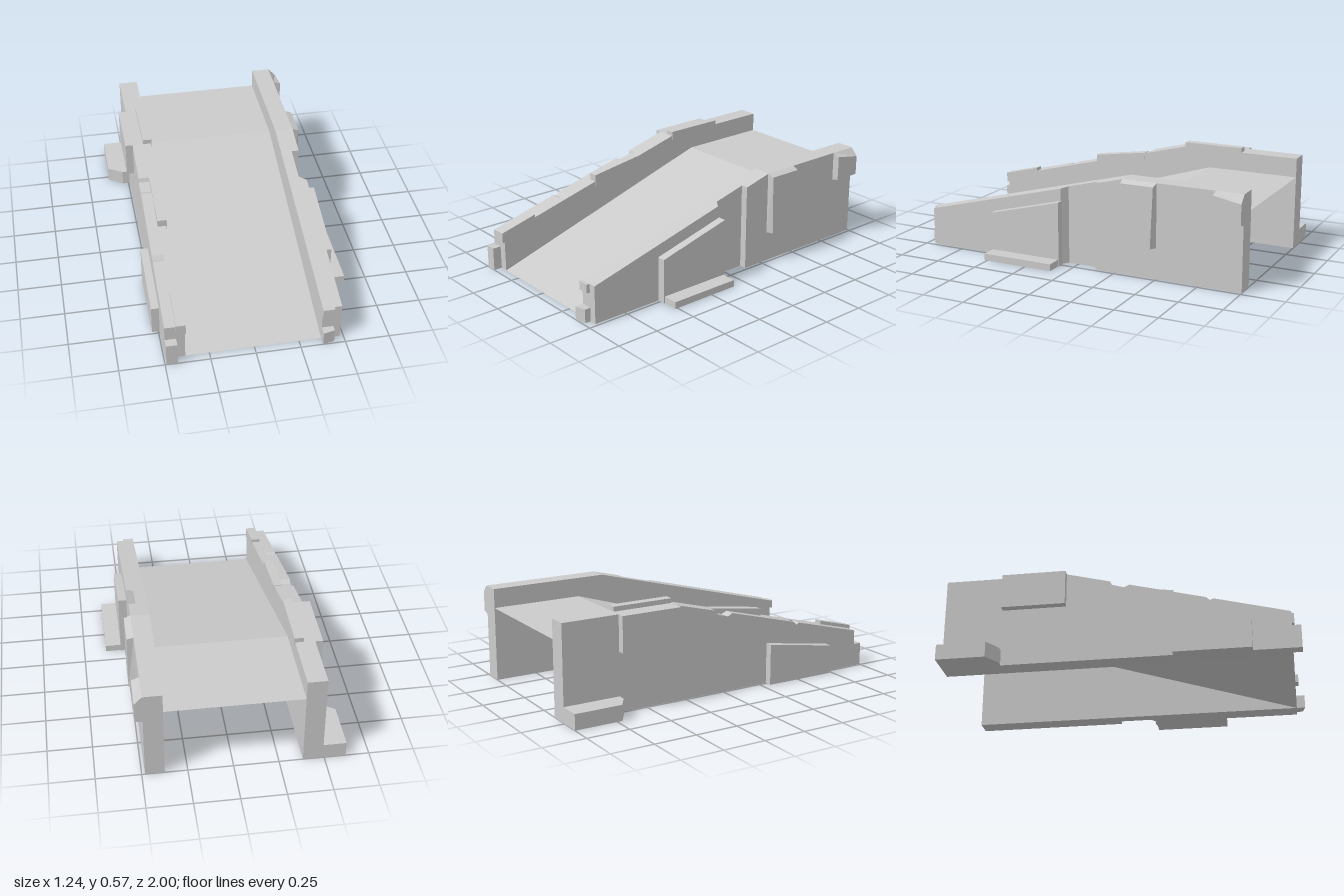
import * as THREE from 'three';

const grey = new THREE.MeshStandardMaterial({ color: 0xcccccc, flatShading: true, side: THREE.DoubleSide });

// Height of the wall top at depth z
const top = (z) => (z < -0.3 ? 0.545 : 0.545 - (z + 0.3) * 0.26);

// Prism from a [z, y] profile spanning x0..x1; farProfile reshapes the x1 end for bevels
function slab(name, profile, x0, x1, farProfile) {
  const shape = new THREE.Shape(profile.map(([z, y]) => new THREE.Vector2(-z, y)));
  const depth = x1 - x0;
  const geo = new THREE.ExtrudeGeometry(shape, { depth, bevelEnabled: false });
  geo.rotateY(Math.PI / 2);
  const pos = geo.attributes.position;
  for (let i = 0; farProfile && i < pos.count; i++) {
    if (Math.abs(pos.getX(i) - depth) > 1e-4) continue;
    const k = profile.findIndex(([z, y]) => Math.hypot(pos.getZ(i) - z, pos.getY(i) - y) < 1e-4);
    if (k >= 0) pos.setXYZ(i, depth, farProfile[k][1], farProfile[k][0]);
  }
  geo.translate(x0, 0, 0);
  geo.computeVertexNormals();
  const mesh = new THREE.Mesh(geo, grey);
  mesh.name = name;
  return mesh;
}

// Rectangle profile
const rect = (z0, z1, y0, y1) => [[z0, y0], [z1, y0], [z1, y1], [z0, y1]];

// Wall profile from front z to back z, with optional extra points along the top
function wall(front, back, notch = []) {
  const points = [[back, 0], [front, 0], [front, top(front)], ...notch];
  if (front > -0.3 && back < -0.3) points.push([-0.3, top(-0.3)]);
  points.push([back, top(back)]);
  return points;
}

export function createModel() {
  const model = new THREE.Group();
  model.name = 'walledRamp';

  // Sloping deck and landing, an open sheet
  const deck = new THREE.BufferGeometry();
  const path = [[0.95, 0], [-0.46, 0.433], [-1, 0.433]];
  deck.setAttribute('position', new THREE.Float32BufferAttribute(
    path.flatMap(([z, y]) => [-0.385, y, z, 0.38, y, z]), 3));
  deck.setIndex([0, 1, 2, 1, 3, 2, 2, 3, 4, 3, 5, 4]);
  deck.computeVertexNormals();
  const deckMesh = new THREE.Mesh(deck, grey);
  deckMesh.name = 'deck';
  model.add(deckMesh);

  // Left wall: inner skin, and an outer skin interrupted by a recess
  const left = new THREE.Group();
  left.name = 'leftWall';
  const frontSkin = wall(0.95, 0.06);
  const frontSkinOuter = frontSkin.map(([z, y]) => (z < 0.1 ? [0.09, y && top(0.09)] : [z, y]));
  left.add(
    slab('innerSkin', wall(0.95, -1), 0.375, 0.44),
    slab('frontOuterSkin', frontSkin, 0.44, 0.482, frontSkinOuter),
    slab('backOuterSkin', wall(-0.13, -1), 0.44, 0.482),
    // Back corner cap, bevelled at the top
    slab('cornerCap', rect(-0.84, -1, 0.375, 0.545), 0.482, 0.525,
      [[-0.84, 0.385], [-1, 0.385], [-1, 0.5], [-0.84, 0.53]]),
    // Hanging plate below the top edge
    slab('hangingPlate', rect(-0.295, -0.5, 0.18, 0.545), 0.482, 0.52,
      [[-0.31, 0.18], [-0.48, 0.18], [-0.495, 0.53], [-0.3, 0.53]]),
    // Buttress with a sloping top
    slab('buttress', [[0.52, 0], [0.08, 0], [0.08, 0.375], [0.52, 0.26]], 0.482, 0.53),
    slab('footLedge', rect(0.515, 0.085, 0, 0.04), 0.53, 0.62),
    slab('lowerKnob', rect(1, 0.95, 0, 0.08), 0.375, 0.44,
      [[0.985, 0], [0.95, 0], [0.95, 0.08], [0.985, 0.08]]),
    slab('upperKnob', rect(0.97, 0.95, 0.17, 0.22), 0.375, 0.44),
  );
  model.add(left);

  // Right wall: inner skin, and an outer skin with chipped top
  const right = new THREE.Group();
  right.name = 'rightWall';
  const chips = [[0.53, top(0.53)], [0.51, top(0.51) - 0.015], [0.49, top(0.49)],
    [0.06, top(0.06)], [0.03, top(0.06) - 0.015], [-0.04, top(-0.04) - 0.02], [-0.05, top(-0.05)]];
  right.add(
    slab('innerSkin', wall(0.95, -1), -0.43, -0.382),
    slab('outerSkin', wall(0.95, -1, chips), -0.492, -0.43),
    slab('sidePlate', rect(-0.3, -0.665, 0.34, 0.545), -0.535, -0.492),
    slab('buttress', [[0.735, 0], [0.3, 0], [0.3, 0.24], [0.735, 0.17]], -0.535, -0.492),
    // Back foot, with its outer front corner cut off
    slab('footBlock', rect(-0.72, -1, 0, 0.09), -0.62, -0.535,
      [[-0.665, 0], [-1, 0], [-1, 0.09], [-0.665, 0.09]]),
    slab('footBlockRoot', rect(-0.665, -1, 0, 0.09), -0.535, -0.492),
    slab('lowerKnob', rect(1, 0.95, 0, 0.135), -0.492, -0.43),
  );
  // Raised strips along the inner top edge
  const strips = [
    [[0.965, 0.175], [0.74, 0.26], [0.74, 0.295], [0.965, 0.237]],
    [[0.3, 0.36], [-0.03, 0.44], [-0.03, 0.478], [0.3, 0.43]],
    rect(-0.3, -0.66, 0.52, 0.572),
  ];
  for (const profile of strips) right.add(slab('topStrip', profile, -0.43, -0.378));
  model.add(right);

  return model;
}
